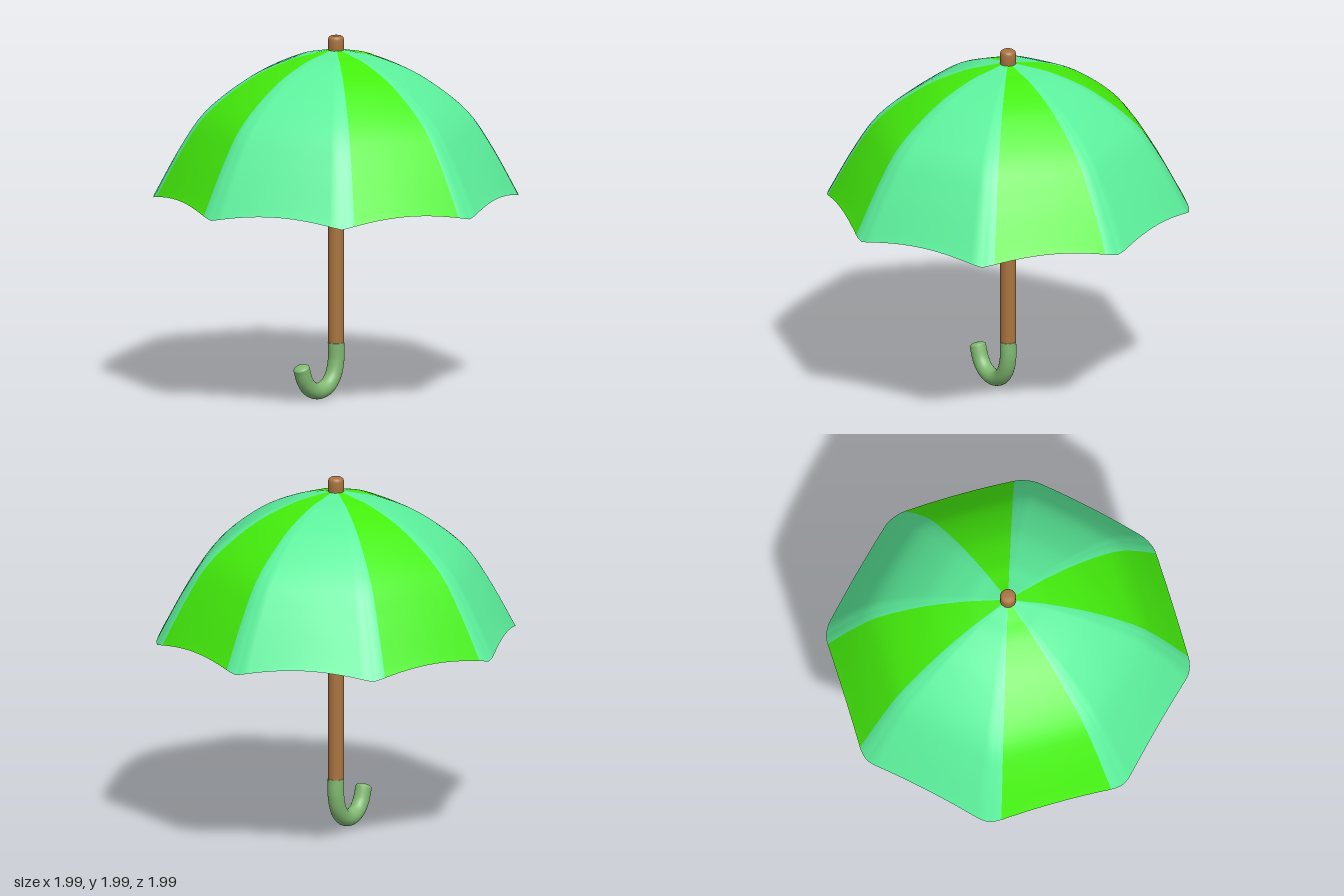
import * as THREE from 'three';
import { ParametricGeometry } from 'three/addons/geometries/ParametricGeometry.js';

const MINT = 0x5cf09c, GREEN = 0x44ee0c, WOOD = 0xa9743f, GRIP = 0x7fb870;

function part(name, geometry, color, side = THREE.FrontSide) {
  const mesh = new THREE.Mesh(geometry, new THREE.MeshStandardMaterial({ color, side }));
  mesh.name = name;
  return mesh;
}

// Rib profile from the crown to the rim: radius, height
const rib = new THREE.SplineCurve([
  [0.03, 1.925], [0.12, 1.905], [0.255, 1.87], [0.47, 1.77],
  [0.707, 1.585], [0.85, 1.38], [0.995, 1.11],
].map(([r, y]) => new THREE.Vector2(r, y)));

// Octagon radius at an angle (degrees) from a panel's middle, with rounded corners
const HALF = 22.5, ROUND = 4;
function octagon(d) {
  const flat = HALF - ROUND;
  const over = Math.max(0, d - flat);
  const a = THREE.MathUtils.degToRad(Math.min(d, flat));
  const slope = 0.935 * Math.tan(a) / Math.cos(a);
  const ease = THREE.MathUtils.degToRad(over - over * over / (2 * ROUND));
  return 0.935 / Math.cos(a) + slope * ease;
}

// Point of the cloth: angle in degrees from +z towards +x, t from crown to rim
function cloth(angle, t, target) {
  const d = Math.abs(THREE.MathUtils.euclideanModulo(angle, 45) - HALF);
  const p = rib.getPoint(t);
  const r = p.x * octagon(d) / octagon(HALF);
  const scallop = 0.045 * (1 - (d / HALF) ** 2) * t ** 3;
  const a = THREE.MathUtils.degToRad(angle);
  target.set(r * Math.sin(a), p.y + scallop, r * Math.cos(a));
}

function clothPanel(name, from, to, color) {
  const surface = (u, v, target) => cloth(from + (to - from) * u, 1 - v, target);
  return part(name, new ParametricGeometry(surface, to - from, 28), color, THREE.DoubleSide);
}

export function createModel() {
  const model = new THREE.Group();
  model.name = 'umbrella';

  // Canopy: alternating panels, the mint ones wrapping over the ribs
  const canopy = new THREE.Group();
  canopy.name = 'canopy';
  for (let i = 0; i < 4; i++) {
    const start = i * 90;
    canopy.add(clothPanel('mintPanel', start - 4, start + 49, MINT));
    canopy.add(clothPanel('greenPanel', start + 49, start + 86, GREEN));
  }
  model.add(canopy);

  // Wooden shaft and its bevelled tip
  const shaft = part('shaft', new THREE.CylinderGeometry(0.043, 0.043, 1.64, 24), WOOD);
  shaft.position.y = 1.11;
  const tipProfile = [[0, 1.92], [0.036, 1.92], [0.044, 1.93], [0.044, 1.98],
    [0.04, 1.992], [0.03, 2], [0, 2]].map(([r, y]) => new THREE.Vector2(r, y));
  model.add(shaft, part('tip', new THREE.LatheGeometry(tipProfile, 24), WOOD));

  // Hooked handle
  const path = new THREE.CatmullRomCurve3([
    [0.3, 0], [0.2, 0], [0.12, 0.024], [0.069, 0.07], [0.05, 0.135],
    [0.068, 0.2], [0.115, 0.245], [0.19, 0.275],
  ].map(([y, z]) => new THREE.Vector3(0, y, z)));
  const handle = new THREE.Group();
  handle.name = 'handle';
  handle.add(part('hook', new THREE.TubeGeometry(path, 48, 0.045, 24), GRIP));
  const up = new THREE.Vector3(0, 1, 0);
  for (const [name, t, sign, height] of [['gripTop', 0, -1, 0.004], ['gripEnd', 1, 1, 0.02]]) {
    const dome = part(name, new THREE.SphereGeometry(0.045, 24, 8, 0, Math.PI * 2, 0, Math.PI / 2), GRIP);
    dome.scale.y = height / 0.045;
    dome.position.copy(path.getPoint(t));
    dome.quaternion.setFromUnitVectors(up, path.getTangent(t).multiplyScalar(sign));
    handle.add(dome);
  }
  model.add(handle);
  return model;
}
